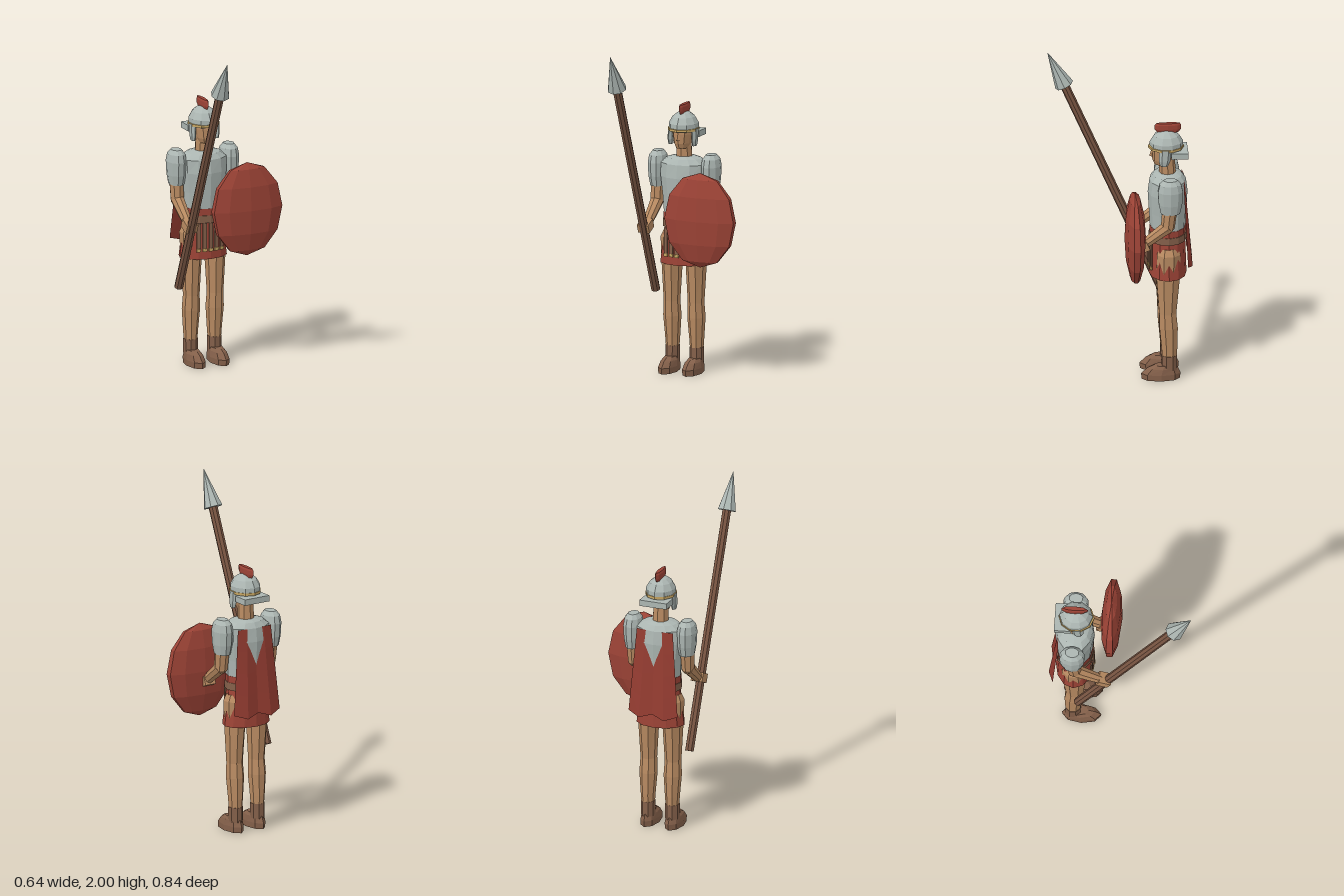
import * as THREE from 'three';

const mat = (name, color, side = THREE.FrontSide) =>
  Object.assign(new THREE.MeshStandardMaterial({ color, flatShading: true, side }), { name });

// Stacked elliptical rings [y, centreZ, radiusX, radiusZ], closed at both ends
function loft(rings, sides, phase = 0) {
  const pos = [], idx = [];
  for (const [y, cz, rx, rz] of rings)
    for (let i = 0; i < sides; i++) {
      const a = (i + phase) / sides * Math.PI * 2;
      pos.push(Math.sin(a) * rx, y, cz + Math.cos(a) * rz);
    }
  for (let r = 0; r < rings.length - 1; r++)
    for (let i = 0; i < sides; i++) {
      const j = (i + 1) % sides, a = r * sides, b = a + sides;
      idx.push(a + i, a + j, b + j, a + i, b + j, b + i);
    }
  const top = (rings.length - 1) * sides;
  for (let i = 1; i < sides - 1; i++) {
    idx.push(0, i + 1, i);
    idx.push(top, top + i, top + i + 1);
  }
  const g = new THREE.BufferGeometry();
  g.setAttribute('position', new THREE.Float32BufferAttribute(pos, 3));
  g.setIndex(idx);
  const flat = g.toNonIndexed();
  flat.computeVertexNormals();
  return flat;
}

// Tapered rod between two points
function rod(a, b, ra, rb, sides = 8) {
  const p = new THREE.Vector3(...a), q = new THREE.Vector3(...b), d = q.clone().sub(p);
  const g = new THREE.CylinderGeometry(rb, ra, d.length(), sides);
  g.applyQuaternion(new THREE.Quaternion().setFromUnitVectors(new THREE.Vector3(0, 1, 0), d.normalize()));
  const m = p.add(q).multiplyScalar(0.5);
  return g.translate(m.x, m.y, m.z);
}

export function createModel() {
  const skin = mat('skin', 0xb98b62), leather = mat('leather', 0x84604a), wood = mat('wood', 0x7a5643);
  const steel = mat('steel', 0xacb6b2), red = mat('red', 0x9c4336), gold = mat('gold', 0xc6a562);
  const cloth = mat('cape cloth', 0x943c31, THREE.DoubleSide);

  const model = new THREE.Group();
  model.name = 'spearman';
  const body = new THREE.Group();
  body.name = 'body';
  body.position.x = -0.09;
  model.add(body);
  const add = (name, geo, material, parent = body) => {
    const m = new THREE.Mesh(geo, material);
    m.name = name;
    parent.add(m);
    return m;
  };
  const box = (w, h, d, x, y, z) => new THREE.BoxGeometry(w, h, d).translate(x, y, z);

  // Legs, boots, arms and shoulder guards, mirrored about the body axis
  for (const s of [-1, 1]) {
    const side = s > 0 ? 'left' : 'right';
    add(side + 'Leg', loft([
      [0.1, -0.28, 0.036, 0.042], [0.2, -0.28, 0.043, 0.05], [0.33, -0.275, 0.053, 0.058],
      [0.42, -0.27, 0.048, 0.054], [0.65, -0.272, 0.06, 0.074], [0.8, -0.275, 0.068, 0.075], [0.84, -0.275, 0.05, 0.06],
    ], 8, 0.5), skin).position.x = s * 0.077;
    add(side + 'AnkleCuff', loft([[0.06, -0.28, 0.042, 0.048], [0.15, -0.28, 0.043, 0.047]], 8, 0.5), leather).position.x = s * 0.077;
    add(side + 'Boot', loft([
      [0, -0.23, 0.05, 0.112], [0.035, -0.23, 0.051, 0.116], [0.07, -0.24, 0.045, 0.09], [0.088, -0.25, 0.034, 0.06],
    ], 8), leather).position.x = s * 0.077;

    const x = s * 0.17;
    add(side + 'UpperArm', rod([x, 1.2, -0.285], [x, 1.01, -0.265], 0.047, 0.041), skin);
    add(side + 'Elbow', new THREE.SphereGeometry(0.04, 8, 5).translate(x, 1.01, -0.265), skin);
    add(side + 'Forearm', rod([x, 1.015, -0.27], [x, 0.9, -0.12], 0.041, 0.03), skin);
    const hand = add(side + 'Hand', new THREE.BoxGeometry(0.072, 0.055, 0.075), skin);
    hand.position.set(x, 0.89, s > 0 ? -0.115 : -0.095);
    hand.rotation.x = 0.42;
    add(side + 'ShoulderGuard', loft([
      [1.1, -0.28, 0.044, 0.058], [1.16, -0.28, 0.054, 0.072], [1.24, -0.28, 0.058, 0.077],
      [1.285, -0.28, 0.05, 0.066], [1.31, -0.28, 0.031, 0.041],
    ], 10, 0.5), steel).position.x = x;
  }

  // Skirt, belt, tunic and breastplate
  add('skirt', loft([[0.65, -0.275, 0.15, 0.111], [0.89, -0.275, 0.118, 0.102]], 12), red);
  add('belt', loft([[0.87, -0.275, 0.13, 0.112], [0.915, -0.275, 0.13, 0.112]], 12), leather);
  add('tunicWaist', loft([[0.91, -0.275, 0.127, 0.106], [0.955, -0.275, 0.127, 0.106]], 12), red);
  add('breastplate', loft([
    [0.945, -0.275, 0.124, 0.104], [1.05, -0.275, 0.131, 0.11], [1.17, -0.275, 0.146, 0.117],
    [1.25, -0.275, 0.147, 0.107], [1.28, -0.275, 0.105, 0.085], [1.292, -0.275, 0.058, 0.058],
  ], 12), steel);

  // Hanging leather strips with gold tips
  for (let i = -2; i <= 2; i++) {
    const strip = new THREE.Group();
    strip.name = 'beltStrip';
    strip.position.set(i * 0.037, 0.79, -0.162 - Math.abs(i) * 0.006);
    strip.rotation.y = i * 0.12;
    body.add(strip);
    add('strap', box(0.024, 0.16, 0.008, 0, 0, 0), leather, strip);
    add('strapTip', box(0.026, 0.018, 0.012, 0, -0.082, 0.001), gold, strip);
  }

  // Head
  add('neck', rod([0, 1.27, -0.275], [0, 1.39, -0.27], 0.05, 0.046), skin);
  add('head', loft([
    [1.345, -0.245, 0.036, 0.048], [1.375, -0.25, 0.05, 0.065], [1.43, -0.258, 0.06, 0.077], [1.5, -0.262, 0.06, 0.077],
  ], 10), skin);
  add('nose', rod([0, 1.395, -0.181], [0, 1.44, -0.187], 0.014, 0.006, 4), skin);

  // Helmet
  add('helmetDome', loft([
    [1.445, -0.268, 0.087, 0.098], [1.49, -0.268, 0.087, 0.098], [1.528, -0.268, 0.066, 0.075],
    [1.55, -0.268, 0.038, 0.045], [1.558, -0.268, 0.014, 0.016],
  ], 10), steel);
  add('browBand', loft([[1.449, -0.265, 0.092, 0.105], [1.463, -0.265, 0.092, 0.105]], 10), gold);
  add('neckGuard', box(0.172, 0.036, 0.1, 0, 1.422, -0.343), steel);
  for (const s of [-1, 1])
    add('cheekGuard', loft([
      [1.36, -0.25, 0.012, 0.022], [1.39, -0.252, 0.016, 0.034], [1.46, -0.258, 0.016, 0.036],
    ], 6), steel).position.x = s * 0.076;
  add('crest', loft([
    [1.545, -0.277, 0.014, 0.062], [1.565, -0.277, 0.018, 0.078], [1.59, -0.277, 0.018, 0.078], [1.602, -0.277, 0.013, 0.07],
  ], 8), red);

  // Cape: folded sheet widening toward the hem
  const cape = new THREE.PlaneGeometry(1, 1, 4, 4), p = cape.attributes.position;
  const folds = [0, -0.035, -0.012, -0.028, 0.012];
  for (let i = 0; i < p.count; i++) {
    const u = p.getX(i), t = 0.5 - p.getY(i), c = Math.round((u + 0.5) * 4);
    p.setXYZ(i, u * (0.23 + 0.085 * t), 1.25 - t * (0.52 + (c % 2 ? 0.015 : -0.01)),
      -0.365 - 0.03 * t + folds[c] * (0.25 + 0.55 * t));
  }
  add('cape', cape, cloth);

  // Oval shield
  const shield = new THREE.SphereGeometry(1, 10, 6).rotateY(Math.PI / 10).scale(0.232, 0.283, 0.063);
  add('shield', shield, red, model).position.set(0.1, 0.957, -0.072);

  // Spear tilted forward
  const spear = new THREE.Group();
  spear.name = 'spear';
  model.add(spear);
  add('spearShaft', rod([-0.26, 0.48, -0.245], [-0.26, 1.8, 0.325], 0.027, 0.027), wood, spear);
  add('spearHead', rod([-0.26, 1.79, 0.321], [-0.26, 2, 0.42], 0.057, 0.0005), steel, spear);
  return model;
}
